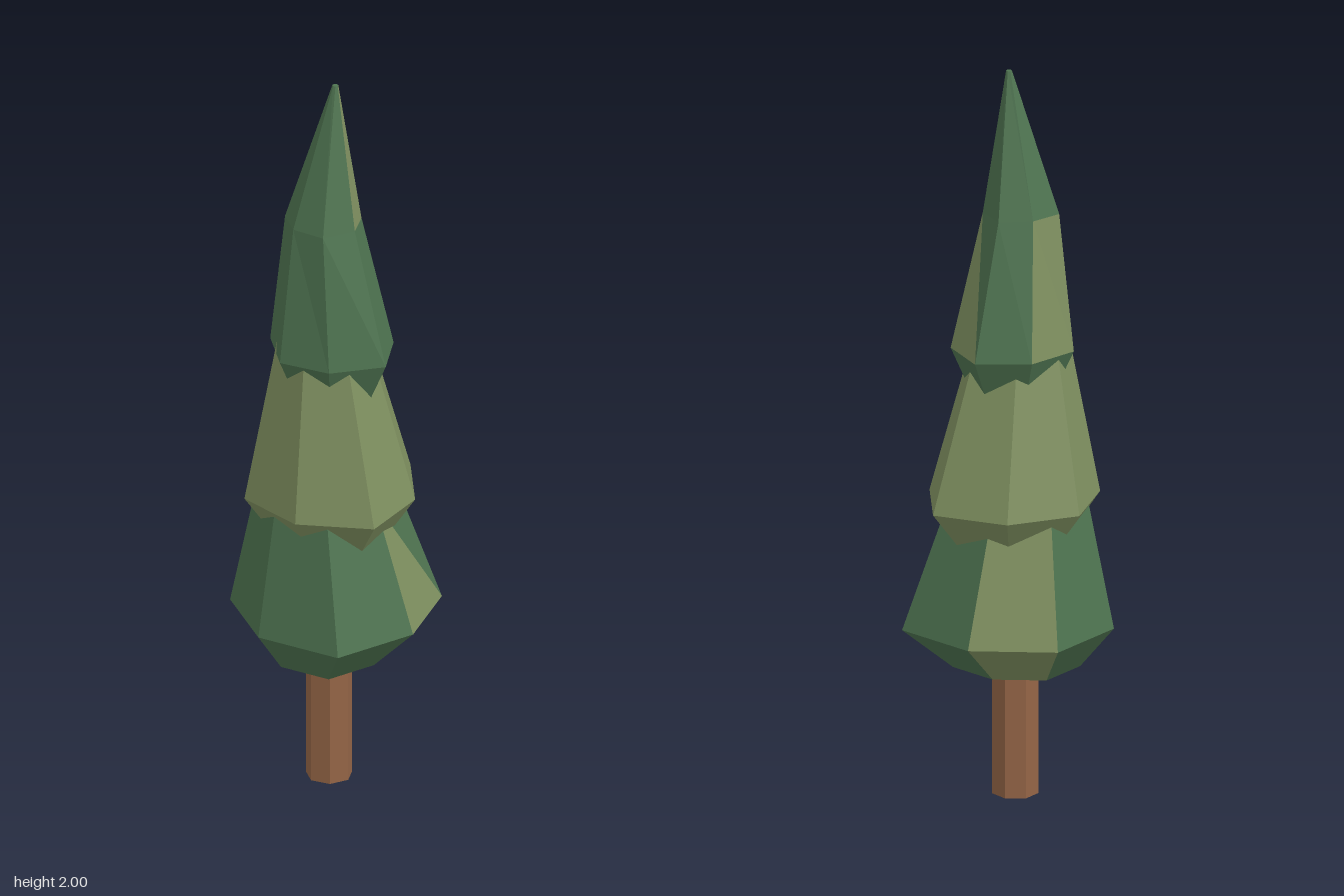
import * as THREE from 'three';

const SIDES = 7;

function material(name, color) {
  const m = new THREE.MeshStandardMaterial({ color });
  m.name = name;
  return m;
}

// Scaled and shifted copy of a ring of [x, z] points
const scaled = (ring, s, dx = 0, dz = 0) => ring.map(([x, z]) => [x * s + dx, z * s + dz]);

const regular = (r, cx, cz) => Array.from({ length: SIDES }, (_, i) => {
  const a = (i / SIDES) * Math.PI * 2;
  return [cx + r * Math.cos(a), cz + r * Math.sin(a)];
});

// Faceted solid skinned through levels [y, ring], bottom to top.
// patches lists "band:face:triangle" facets that take the second material.
function skin(name, levels, materials, patches = []) {
  const lists = [[], []];
  const rings = levels.map(([y, ring]) => ring.map(([x, z]) => [x, y, z]));
  const add = (slot, ...corners) => corners.forEach((c) => lists[slot].push(...c));

  for (let k = 0; k < rings.length - 1; k++) {
    const lo = rings[k], hi = rings[k + 1];
    for (let i = 0; i < SIDES; i++) {
      const j = (i + 1) % SIDES;
      const slot = (t) => (patches.includes(`${k}:${i}:${t}`) ? 1 : 0);
      add(slot(0), lo[j], lo[i], hi[j]);
      add(slot(1), lo[i], hi[i], hi[j]);
    }
  }

  // Flat end caps
  const bottom = rings[0], top = rings[rings.length - 1];
  for (let i = 1; i < SIDES - 1; i++) {
    add(0, bottom[0], bottom[i], bottom[i + 1]);
    add(0, top[0], top[i + 1], top[i]);
  }

  const geo = new THREE.BufferGeometry();
  geo.setAttribute('position', new THREE.Float32BufferAttribute([...lists[0], ...lists[1]], 3));
  geo.addGroup(0, lists[0].length / 3, 0);
  if (lists[1].length) geo.addGroup(lists[0].length / 3, lists[1].length / 3, 1);
  geo.computeVertexNormals();
  const mesh = new THREE.Mesh(geo, materials);
  mesh.name = name;
  return mesh;
}

export function createModel() {
  const green = material('pine green', 0x4e7350);
  const olive = material('olive green', 0x7f9060);
  const bark = material('bark brown', 0x946546);

  const tree = new THREE.Group();
  tree.name = 'tree';

  // Trunk
  const post = regular(0.062, -0.036, -0.002);
  tree.add(skin('trunk', [[0, post], [0.4, post]], [bark, bark]));

  // Lower foliage
  const low = [[0.27, -0.01], [0.14, 0.19], [-0.085, 0.275], [-0.255, 0.105],
    [-0.27, -0.13], [-0.083, -0.278], [0.142, -0.21]];
  tree.add(skin('lowerFoliage', [
    [0.36, scaled(low, 0.6, -0.03)],
    [0.475, low],
    [0.84, scaled(low, 0.64, -0.035)],
  ], [green, olive], ['1:0:0', '1:5:0', '1:5:1', '0:5:0', '0:5:1']));

  // Middle foliage
  const mid = [[0.21, -0.105], [0.17, 0.097], [0.022, 0.24], [-0.17, 0.16],
    [-0.26, -0.02], [-0.16, -0.2], [0.04, -0.226]];
  tree.add(skin('middleFoliage', [
    [0.705, scaled(mid, 0.65, -0.01)],
    [0.82, mid],
    [1.3, scaled(mid, 0.51, -0.037)],
  ], [olive, green]));

  // Upper foliage with a bent, pointed tip
  const high = [[0.135, 0.008], [0.078, 0.145], [-0.075, 0.145], [-0.183, 0.052],
    [-0.17, -0.098], [-0.04, -0.17], [0.105, -0.137]];
  const neck = [[0.05, 0.002], [0.013, 0.075], [-0.078, 0.095], [-0.14, 0.025],
    [-0.14, -0.06], [-0.06, -0.1], [0.03, -0.088]];
  tree.add(skin('upperFoliage', [
    [1.13, scaled(high, 0.71, -0.008)],
    [1.24, high],
    [1.61, neck],
    [2, regular(0.008, -0.018, -0.008)],
  ], [green, olive], ['1:6:0', '1:4:0', '1:4:1', '2:0:0', '2:0:1']));

  return tree;
}
